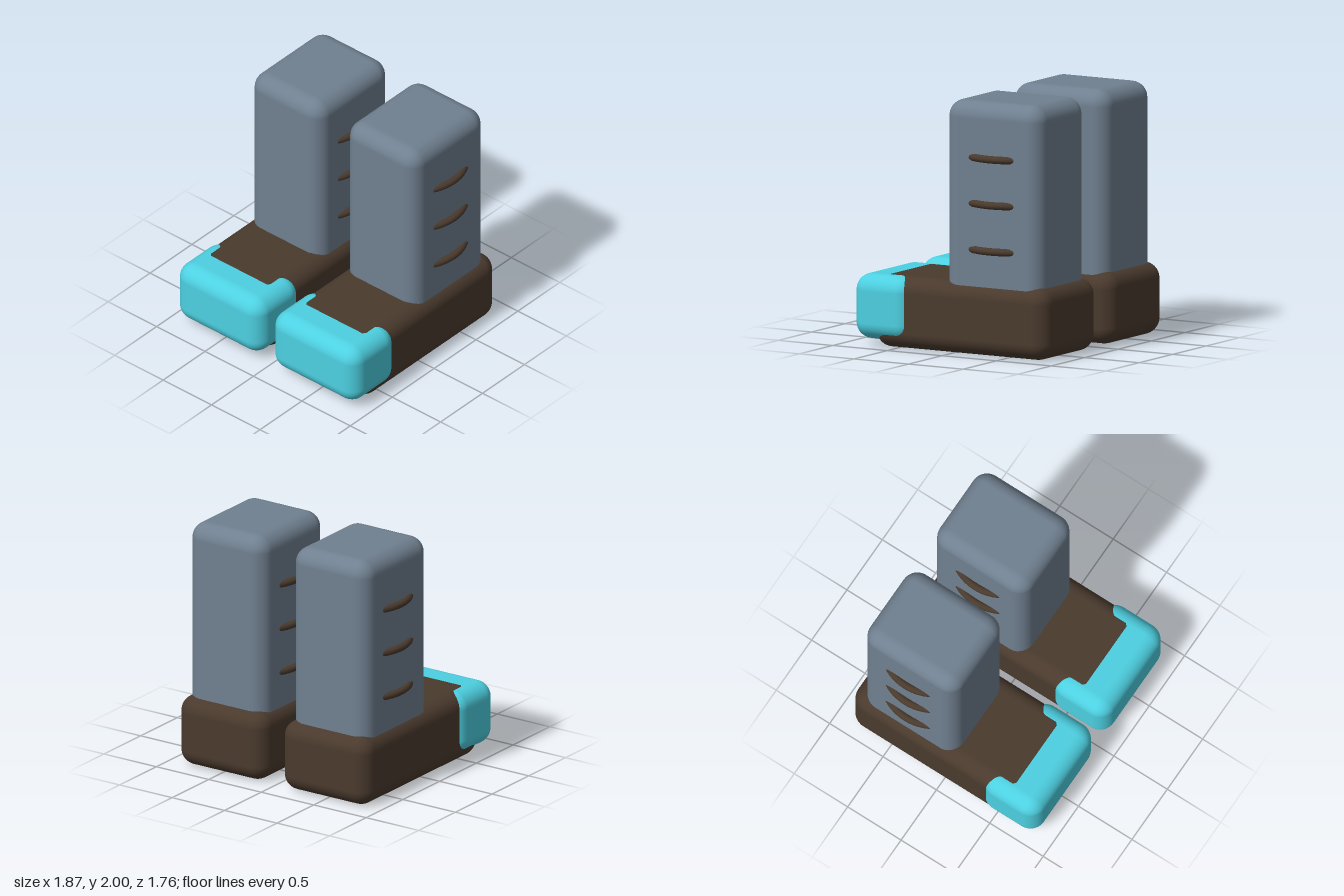
import * as THREE from 'three';
import { RoundedBoxGeometry } from 'three/addons/geometries/RoundedBoxGeometry.js';

const brown = new THREE.MeshStandardMaterial({ color: 0x4a3a2d });
const grey = new THREE.MeshStandardMaterial({ color: 0x708090 });
const teal = new THREE.MeshStandardMaterial({ color: 0x4dd0e1 });

// Rounded block given by its width and its y and z ranges
function block(name, material, width, [y0, y1], [z0, z1]) {
  const mesh = new THREE.Mesh(
    new RoundedBoxGeometry(width, y1 - y0, z1 - z0, 6, 0.13), material);
  mesh.name = name;
  mesh.position.set(0, (y0 + y1) / 2, (z0 + z1) / 2);
  return mesh;
}

function createBoot(name) {
  const boot = new THREE.Group();
  boot.name = name;
  boot.add(
    block('foot', brown, 0.83, [0, 0.572], [-0.88, 0.71]),
    block('toeCap', teal, 0.88, [0.055, 0.57], [0.35, 0.88]),
    block('shaft', grey, 0.73, [0.4, 2], [-0.8, 0.075]),
  );

  // Strap rings that only break through the sides of the shaft
  const ring = new THREE.TorusGeometry(0.39, 0.03, 12, 64).rotateX(Math.PI / 2);
  [0.835, 1.2, 1.563].forEach((y, i) => {
    const strap = new THREE.Mesh(ring, brown);
    strap.name = `strap${i + 1}`;
    strap.position.set(0, y, -0.3625);
    boot.add(strap);
  });
  return boot;
}

export function createModel() {
  const model = new THREE.Group();
  model.name = 'boots';
  for (const side of [-1, 1]) {
    const boot = createBoot(side > 0 ? 'leftBoot' : 'rightBoot');
    boot.position.x = side * 0.493;
    model.add(boot);
  }
  return model;
}
